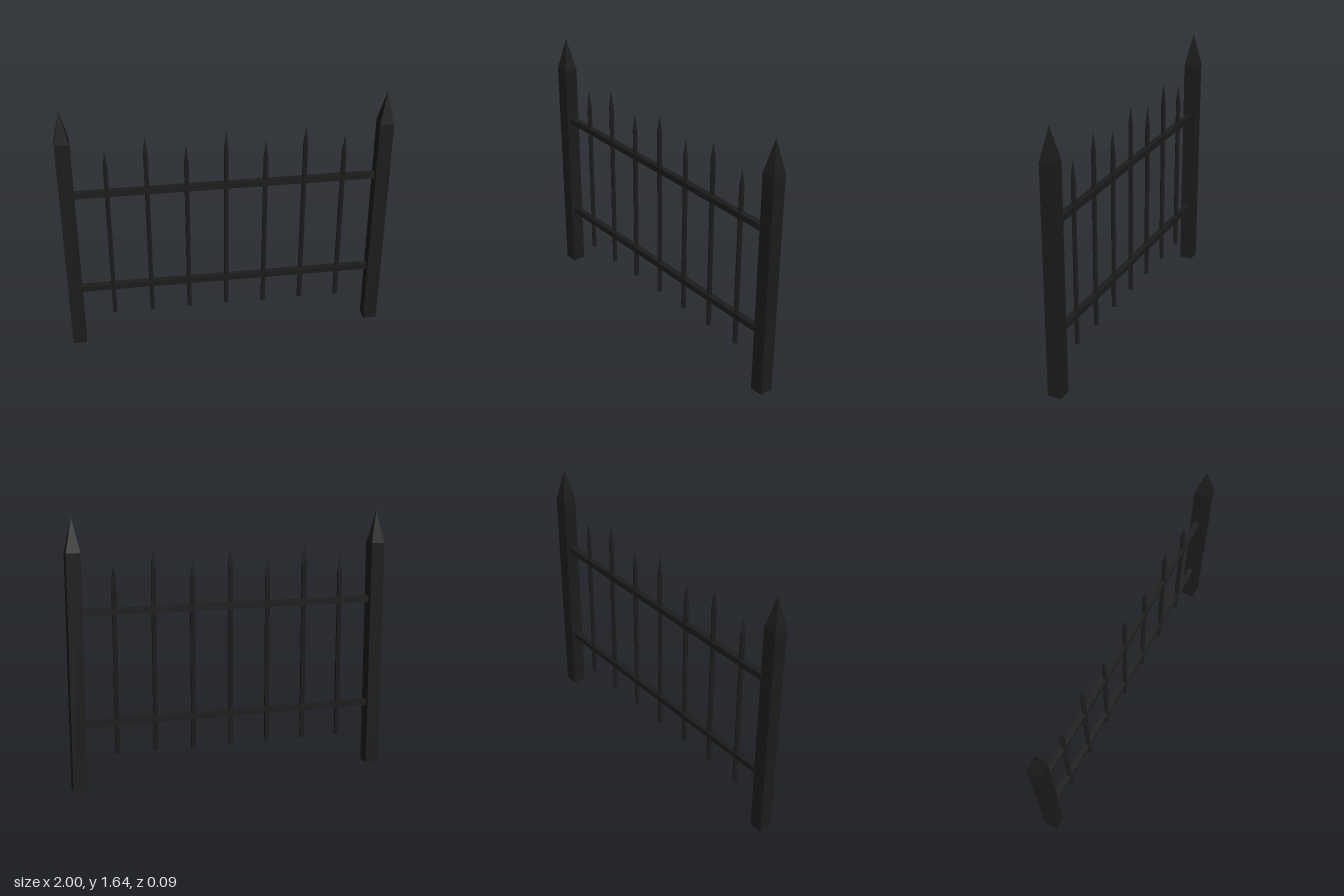
import * as THREE from 'three';

export function createModel() {
  const model = new THREE.Group();
  model.name = 'fencePanel';
  const iron = new THREE.MeshStandardMaterial({ color: 0x1c1c1c });
  iron.name = 'blackIron';

  const add = (parent, name, geometry, x, y) => {
    // flat facets on every part
    const flat = geometry.index ? geometry.toNonIndexed() : geometry;
    flat.computeVertexNormals();
    const mesh = new THREE.Mesh(flat, iron);
    mesh.name = name;
    mesh.position.set(x, y, 0);
    parent.add(mesh);
  };

  // Square end posts with pyramid caps
  const postWidth = 0.086, postHeight = 1.436, capHeight = 0.2, postX = 0.957;
  for (const side of [-1, 1]) {
    const post = new THREE.Group();
    post.name = side > 0 ? 'leftPost' : 'rightPost';
    add(post, 'postShaft', new THREE.BoxGeometry(postWidth, postHeight, postWidth), 0, postHeight / 2);
    const cap = new THREE.ConeGeometry(postWidth / Math.SQRT2, capHeight, 4, 1, true).rotateY(Math.PI / 4);
    add(post, 'postCap', cap, 0, postHeight + capHeight / 2);
    post.position.x = side * postX;
    model.add(post);
  }

  // Horizontal rails between the posts
  const railLength = 2 * postX - postWidth;
  add(model, 'lowerRail', new THREE.BoxGeometry(railLength, 0.038, 0.036), 0, 0.402);
  add(model, 'upperRail', new THREE.BoxGeometry(railLength, 0.038, 0.036), 0, 1.078);

  // Slim pickets of alternating height with pointed tips
  const radius = 0.0155, bottom = 0.2, tipHeight = 0.115;
  for (let i = -3; i <= 3; i++) {
    const shaftTop = i % 2 === 0 ? 1.325 : 1.249;
    const length = shaftTop - bottom;
    const picket = new THREE.Group();
    picket.name = `picket${i + 4}`;
    add(picket, 'picketShaft', new THREE.CylinderGeometry(radius, radius, length, 6), 0, bottom + length / 2);
    add(picket, 'picketTip', new THREE.ConeGeometry(radius, tipHeight, 6, 1, true), 0, shaftTop + tipHeight / 2);
    picket.position.x = i * postX / 4;
    model.add(picket);
  }
  return model;
}
